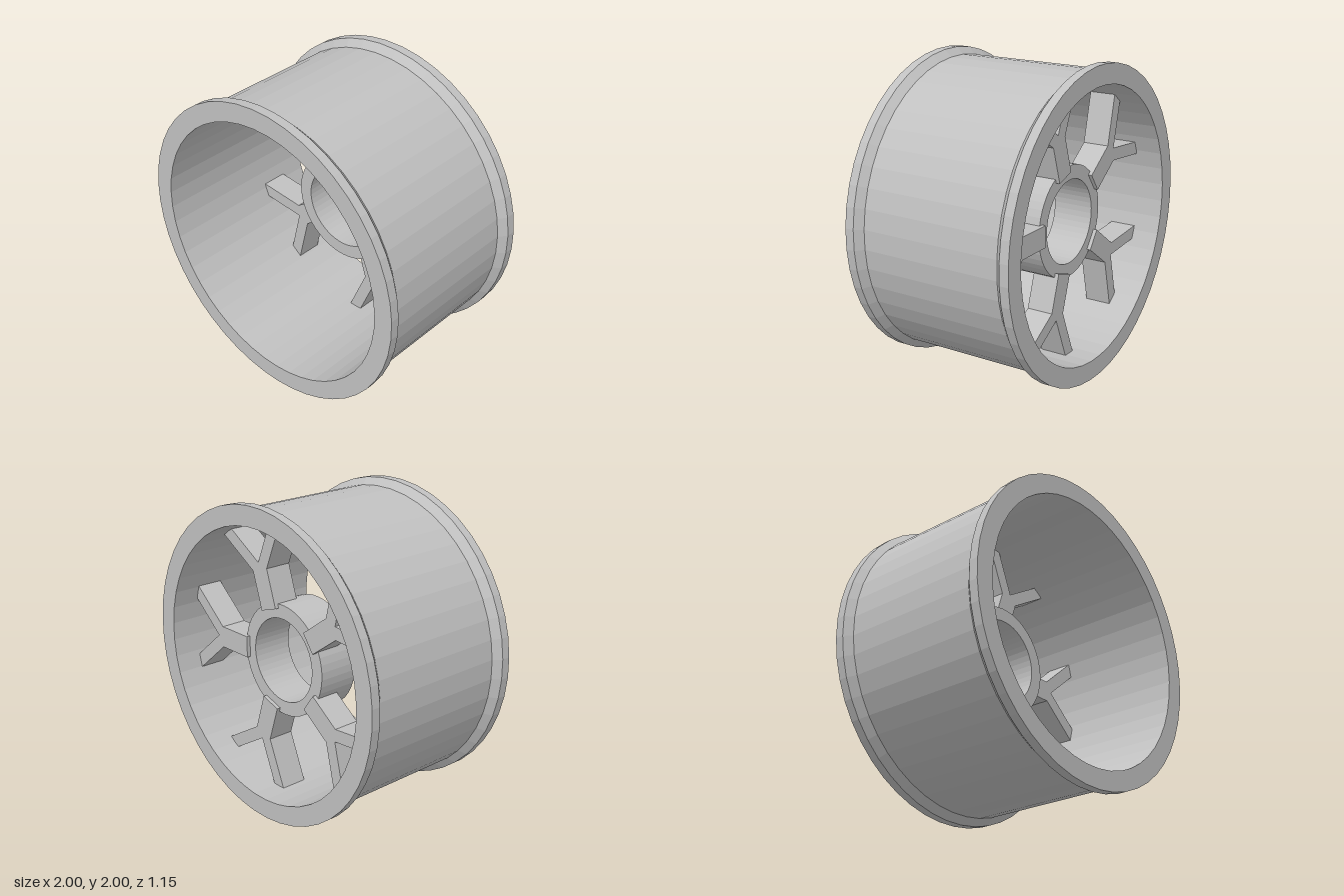
import * as THREE from 'three';

const SIDES = 48;

// Closed ring turned around the z axis; profile is [radius, z], outer side first, towards +z
function turned(name, profile, material) {
  const points = [...profile, profile[0]].map(([r, z]) => new THREE.Vector2(r, z));
  const geometry = new THREE.LatheGeometry(points, SIDES, Math.PI / SIDES, Math.PI * 2);
  geometry.rotateX(Math.PI / 2);
  const mesh = new THREE.Mesh(geometry, material);
  mesh.name = name;
  return mesh;
}

// Flat outline extruded between the two faces of the spokes
function plate(name, outline, material) {
  const back = -0.395, front = -0.22;
  const shape = new THREE.Shape(outline.map(([x, y]) => new THREE.Vector2(x, y)));
  const geometry = new THREE.ExtrudeGeometry(shape, { depth: front - back, bevelEnabled: false });
  geometry.translate(0, 0, back);
  const mesh = new THREE.Mesh(geometry, material);
  mesh.name = name;
  return mesh;
}

export function createModel() {
  const metal = new THREE.MeshStandardMaterial({ color: 0xc0c0c0, flatShading: true });
  metal.name = 'grey metal';

  const wheel = new THREE.Group();
  wheel.name = 'wheel';
  wheel.position.y = 1;

  // Barrel with a raised lip at each end
  wheel.add(turned('rim', [
    [1, -0.575], [1, -0.515], [0.955, -0.47],
    [0.955, 0.47], [1, 0.515], [1, 0.575],
    [0.873, 0.575], [0.873, -0.575],
  ], metal));

  // Hub ring, set towards the back
  wheel.add(turned('hub', [
    [0.36, -0.37], [0.36, -0.1], [0.27, -0.1], [0.27, -0.37],
  ], metal));

  // Five forked spokes; the arms end inside the barrel wall
  for (let i = 0; i < 5; i++) {
    const spoke = new THREE.Group();
    spoke.name = 'spoke';
    spoke.add(plate('spokeStem', [
      [0.325, -0.07], [0.575, -0.07], [0.62, 0], [0.575, 0.07], [0.325, 0.07],
    ], metal));
    for (const side of [1, -1]) {
      spoke.add(plate('spokeArm', [
        [0.575, 0.07 * side], [0.62, 0], [0.878, 0.221 * side], [0.852, 0.308 * side],
      ], metal));
    }
    spoke.rotation.z = (i * Math.PI * 2) / 5;
    wheel.add(spoke);
  }

  const model = new THREE.Group();
  model.name = 'wheelRim';
  model.add(wheel);
  return model;
}
